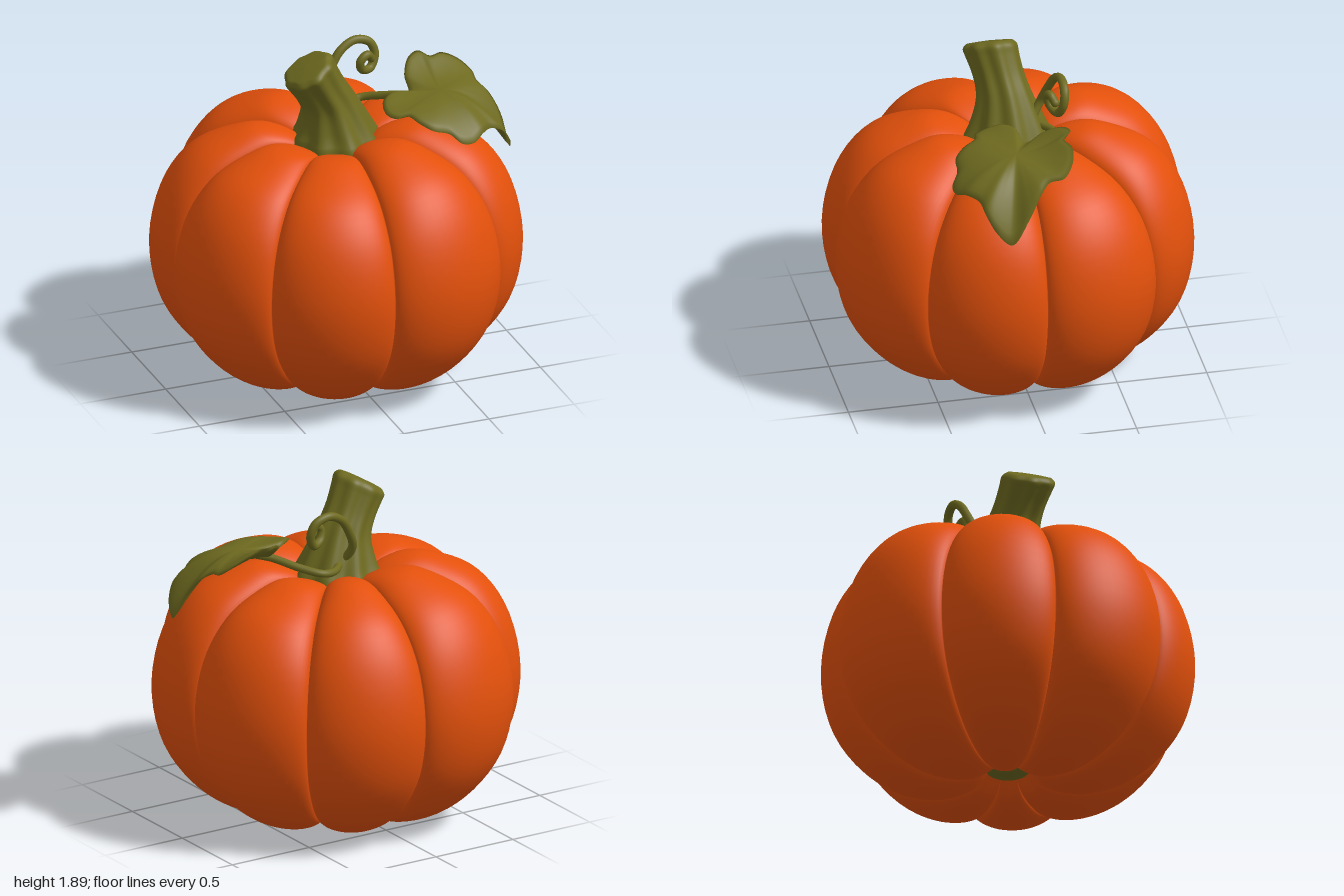
import * as THREE from 'three';
import { mergeVertices } from 'three/addons/utils/BufferGeometryUtils.js';

const orange = new THREE.MeshStandardMaterial({ name: 'pumpkinOrange', color: 0xe3500b });
const green = new THREE.MeshStandardMaterial({ name: 'stemGreen', color: 0x6e6a20 });

const V = (x, y, z = 0) => new THREE.Vector3(x, y, z);
const curve = (pts, closed = false) => new THREE.CatmullRomCurve3(pts.map(p => V(...p)), closed);

// Smooth surface from fn(u, v); the front side is du x dv
function surface(fn, nu, nv) {
  const pos = [], idx = [];
  for (let j = 0; j <= nv; j++) {
    for (let i = 0; i <= nu; i++) pos.push(...fn(i / nu, j / nv).toArray());
  }
  for (let j = 0; j < nv; j++) {
    for (let i = 0; i < nu; i++) {
      const a = j * (nu + 1) + i, c = a + nu + 1;
      idx.push(a, a + 1, c + 1, a, c + 1, c);
    }
  }
  let g = new THREE.BufferGeometry();
  g.setAttribute('position', new THREE.Float32BufferAttribute(pos, 3));
  g.setIndex(idx);
  g = mergeVertices(g, 1e-5);
  g.computeVertexNormals();
  return g;
}

function add(parent, name, geometry, material) {
  const m = new THREE.Mesh(geometry, material);
  m.name = name;
  parent.add(m);
  return m;
}

// Profiles (radius, height) along the middle of a lobe and along a groove
const ridge = curve([[0.12, 1.2], [0.2, 1.36], [0.42, 1.44], [0.59, 1.405], [0.795, 1.3], [0.945, 1.09],
  [1.02, 0.75], [0.965, 0.43], [0.81, 0.2], [0.62, 0.06], [0.41, 0], [0.2, 0.035], [0.09, 0.16]]);
const groove = curve([[0.12, 1.2], [0.17, 1.29], [0.31, 1.355], [0.49, 1.33], [0.69, 1.23], [0.845, 1.04],
  [0.915, 0.75], [0.865, 0.46], [0.715, 0.24], [0.54, 0.11], [0.36, 0.055], [0.18, 0.08], [0.09, 0.16]]);

// Groove directions in degrees from +x towards +z, then height and reach of each lobe
const grooveAngles = [-1.5, 40.5, 91, 134, 180, 219.6, 271, 313, 358.5];
const lobeHeights = [1, 1.02, 0.955, 0.96, 0.985, 1.02, 1.02, 0.98];
const lobeReach = [1, 1.015, 1.005, 1.012, 1, 1.018, 1.002, 1.015];

function bodyPoint(u, v) {
  const k = Math.min(7, Math.floor(u * 8 + 1e-9));
  const a0 = THREE.MathUtils.degToRad(grooveAngles[k]);
  const a1 = THREE.MathUtils.degToRad(grooveAngles[k + 1]);
  const phi = (u * 8 - k - 0.5) * Math.PI;
  const a = (a0 + a1) / 2 + (a1 - a0) / 2 * Math.sin(phi);
  const bulge = Math.pow(Math.max(0, Math.cos(phi)), 1.15);
  const p = ridge.getPoint(v);
  p.x *= lobeReach[k];
  if (p.y > 0.75) p.y = 0.75 + (p.y - 0.75) * lobeHeights[k];
  p.lerpVectors(groove.getPoint(v), p, bulge);
  return V(p.x * Math.cos(a), p.y, p.x * Math.sin(a));
}

// Stem: centre line and (radius, tilt) from the middle of the cut top down to the flared base
const stemCentre = curve([[-0.2, 1.835, 0.06], [-0.196, 1.83, 0.06], [-0.183, 1.805, 0.058], [-0.16, 1.765, 0.05],
  [-0.11, 1.68, 0.03], [-0.055, 1.58, 0.01], [-0.02, 1.46, 0], [0, 1.37, 0], [0, 1.25, 0]]);
const stemSize = curve([[0, 0.52], [0.12, 0.52], [0.146, 0.5], [0.142, 0.48],
  [0.135, 0.4], [0.145, 0.28], [0.185, 0.12], [0.225, 0], [0.25, 0]]);

function stemPoint(u, v) {
  const a = u * Math.PI * 2, c = stemCentre.getPoint(v), s = stemSize.getPoint(v);
  const r = s.x * (1 + (0.025 + 0.05 * v) * Math.cos(8 * a) + 0.03 * Math.cos(3 * a + 1));
  const x = r * Math.cos(a);
  return V(c.x + x * Math.cos(s.y), c.y + x * Math.sin(s.y), c.z + r * Math.sin(a));
}

// Leaf outline from the stalk notch around the back lobe, the tip and the front lobe
const leafEdge = curve([
  [0.43, 1.53, -0.01], [0.44, 1.6, -0.1], [0.5, 1.66, -0.19], [0.57, 1.67, -0.225], [0.62, 1.65, -0.18],
  [0.7, 1.645, -0.205], [0.79, 1.6, -0.19], [0.85, 1.54, -0.13], [0.845, 1.52, -0.05], [0.89, 1.47, 0.01],
  [0.935, 1.36, 0.08], [0.945, 1.21, 0.18], [0.92, 1.28, 0.26], [0.86, 1.37, 0.31], [0.78, 1.41, 0.33],
  [0.71, 1.42, 0.39], [0.64, 1.39, 0.43], [0.57, 1.4, 0.435], [0.51, 1.45, 0.395], [0.42, 1.48, 0.385],
  [0.36, 1.51, 0.33], [0.32, 1.53, 0.26], [0.25, 1.52, 0.24], [0.22, 1.53, 0.18], [0.24, 1.56, 0.09],
  [0.31, 1.57, 0.03]], true);

function leafPoint(u, v) {
  const t = 1 - Math.abs(1 - 2 * v), side = v < 0.5 ? 1 : -1;
  const e = leafEdge.getPoint(u);
  const fall = Math.pow(t, 2);
  const thick = 0.018 * Math.sqrt(Math.max(0, 1 - Math.pow(t, 8)));
  return V(0.58 + (e.x - 0.58) * t, 1.55 + (e.y - 1.55) * fall + side * thick, 0.08 + (e.z - 0.08) * t);
}

// Round vine along a path with a rounded free end
function vine(parent, name, pts, radius) {
  const path = curve(pts), g = new THREE.Group();
  g.name = name;
  add(g, name + 'Body', new THREE.TubeGeometry(path, 100, radius, 12), green);
  add(g, name + 'End', new THREE.SphereGeometry(radius, 12, 8), green).position.copy(path.getPoint(1));
  parent.add(g);
}

export function createModel() {
  const model = new THREE.Group();
  model.name = 'pumpkin';

  add(model, 'body', surface(bodyPoint, 8 * 26, 56), orange);

  // Green scar underneath
  const scar = add(model, 'blossomEnd', new THREE.SphereGeometry(0.13, 24, 12), green);
  scar.scale.y = 0.4;
  scar.position.y = 0.15;

  add(model, 'stem', surface(stemPoint, 96, 56), green);

  vine(model, 'tendril', [[0.04, 1.45, -0.12], [0.01, 1.55, -0.18], [0.06, 1.665, -0.215], [0.12, 1.745, -0.235],
    [0.21, 1.787, -0.25], [0.295, 1.76, -0.25], [0.322, 1.69, -0.24], [0.285, 1.62, -0.215],
    [0.225, 1.635, -0.185], [0.212, 1.69, -0.17], [0.255, 1.72, -0.18], [0.285, 1.685, -0.2]], 0.024);
  vine(model, 'leafStalk', [[0.06, 1.45, -0.13], [0.14, 1.44, -0.2], [0.23, 1.45, -0.22],
    [0.33, 1.48, -0.14], [0.43, 1.52, -0.02], [0.5, 1.535, 0.04]], 0.022);

  add(model, 'leaf', surface(leafPoint, 156, 28), green);
  return model;
}
